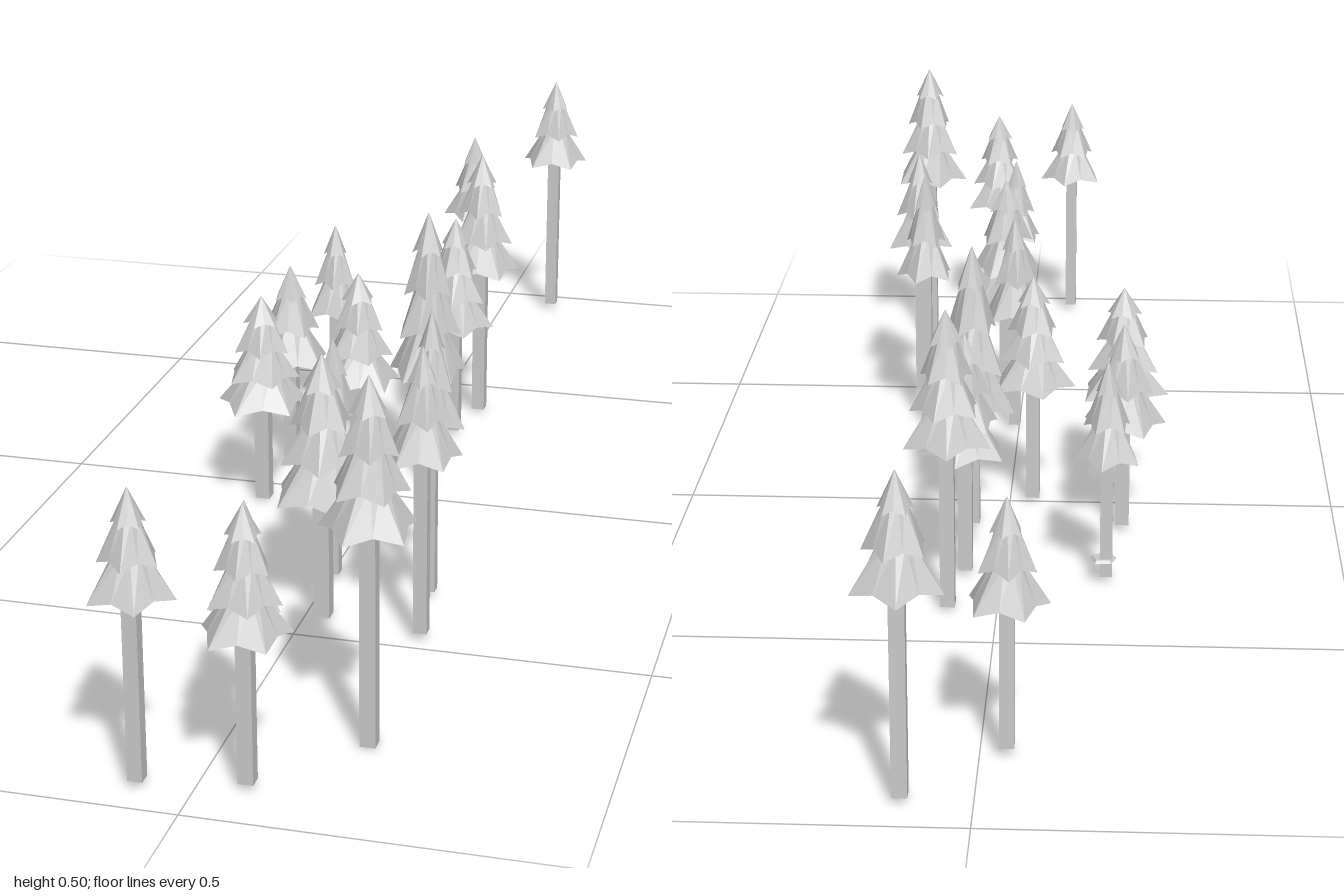
import * as THREE from 'three';

// x, z, trunk foot, crown bottom, tip height, crown radius, tiers
const TREES = [
  [0.09, -0.94, 0.01, 0.285, 0.437, 0.06, 3],
  [-0.035, -0.82, 0.015, 0.21, 0.355, 0.055, 3],
  [0.07, -0.39, 0.005, 0.25, 0.447, 0.064, 4],
  [0.052, -0.275, 0.01, 0.19, 0.372, 0.063, 4],
  [-0.153, -0.29, 0.01, 0.19, 0.34, 0.05, 3],
  [-0.175, -0.10, 0.01, 0.17, 0.33, 0.065, 3],
  [0.053, -0.08, 0.0, 0.18, 0.441, 0.064, 4],
  [-0.035, 0.01, 0.006, 0.19, 0.365, 0.066, 4],
  [-0.174, 0.06, 0.005, 0.16, 0.333, 0.071, 4],
  [0.007, 0.31, 0.01, 0.2, 0.37, 0.052, 3],
  [0.155, 0.333, 0.01, 0.26, 0.432, 0.048, 3],
  [0.027, 0.44, 0.005, 0.185, 0.395, 0.074, 4],
  [0.175, 0.47, 0.012, 0.27, 0.43, 0.056, 3],
  [0.026, 0.795, 0.01, 0.185, 0.33, 0.047, 3],
  [0.181, 0.777, 0.002, 0.3, 0.503, 0.065, 4],
  [-0.071, 0.945, 0.01, 0.257, 0.4, 0.057, 3],
  [0.063, 0.918, 0.01, 0.21, 0.382, 0.06, 4],
];

// Five-pointed drooping skirt: a cone whose lower rim alternates corners and notches
function skirtGeometry(rTop, rBottom, h) {
  const g = new THREE.CylinderGeometry(Math.max(rTop, 0.0005), rBottom, h, 10, 1);
  const p = g.attributes.position;
  for (let i = 0; i < p.count; i++) {
    if (p.getY(i) > 0) continue;
    const x = p.getX(i), z = p.getZ(i);
    if (Math.hypot(x, z) < 1e-6) {
      p.setY(i, -h / 2 + h * 0.3); // hollow underside
      continue;
    }
    const step = Math.round(Math.atan2(x, z) / (Math.PI / 5));
    if (Math.abs(step) % 2 === 1) {
      p.setXYZ(i, x * 0.76, p.getY(i) + h * 0.14, z * 0.76);
    }
  }
  g.computeVertexNormals();
  return g;
}

export function createModel() {
  const group = new THREE.Group();
  group.name = 'pineGrove';
  const grey = new THREE.MeshStandardMaterial({ color: 0xcccccc, flatShading: true });
  grey.name = 'plainGrey';

  let seed = 7;
  const rand = () => (seed = (seed * 16807) % 2147483647) / 2147483647;

  const add = (parent, geometry, name, y) => {
    const mesh = new THREE.Mesh(geometry, grey);
    mesh.name = name;
    mesh.position.y = y;
    parent.add(mesh);
    return mesh;
  };

  TREES.forEach(([x, z, foot, low, tip, radius, tiers], index) => {
    const tree = new THREE.Group();
    tree.name = 'pineTree' + (index + 1);
    tree.position.set(x, 0, z);
    group.add(tree);

    // Square trunk, reaching a little into the crown
    const w = 0.008 + radius * 0.2;
    const trunkTop = low + 0.04;
    add(tree, new THREE.BoxGeometry(w, trunkTop - foot, w), 'trunk', (trunkTop + foot) / 2);

    // Overlapping tiers of branches, from the tip down
    const crown = tip - low;
    const turn = rand() * Math.PI;
    for (let k = 0; k < tiers; k++) {
      const r = radius * (0.4 + (0.6 * k) / (tiers - 1));
      const bottom = tip - (crown * (k + 1)) / tiers;
      const top = k === 0 ? tip : tip - crown * (k / tiers - 0.08);
      const skirt = add(tree, skirtGeometry(k === 0 ? 0 : r * 0.33, r, top - bottom), 'branchTier', (top + bottom) / 2);
      skirt.rotation.y = turn + k * 0.35;
    }

    // Small low ring of branches on one tree
    if (index === 4) {
      const ring = add(tree, new THREE.CylinderGeometry(0.016, 0.02, 0.004, 5), 'lowBranchRing', 0.036);
      ring.position.x = 0.004;
    }
  });

  return group;
}
